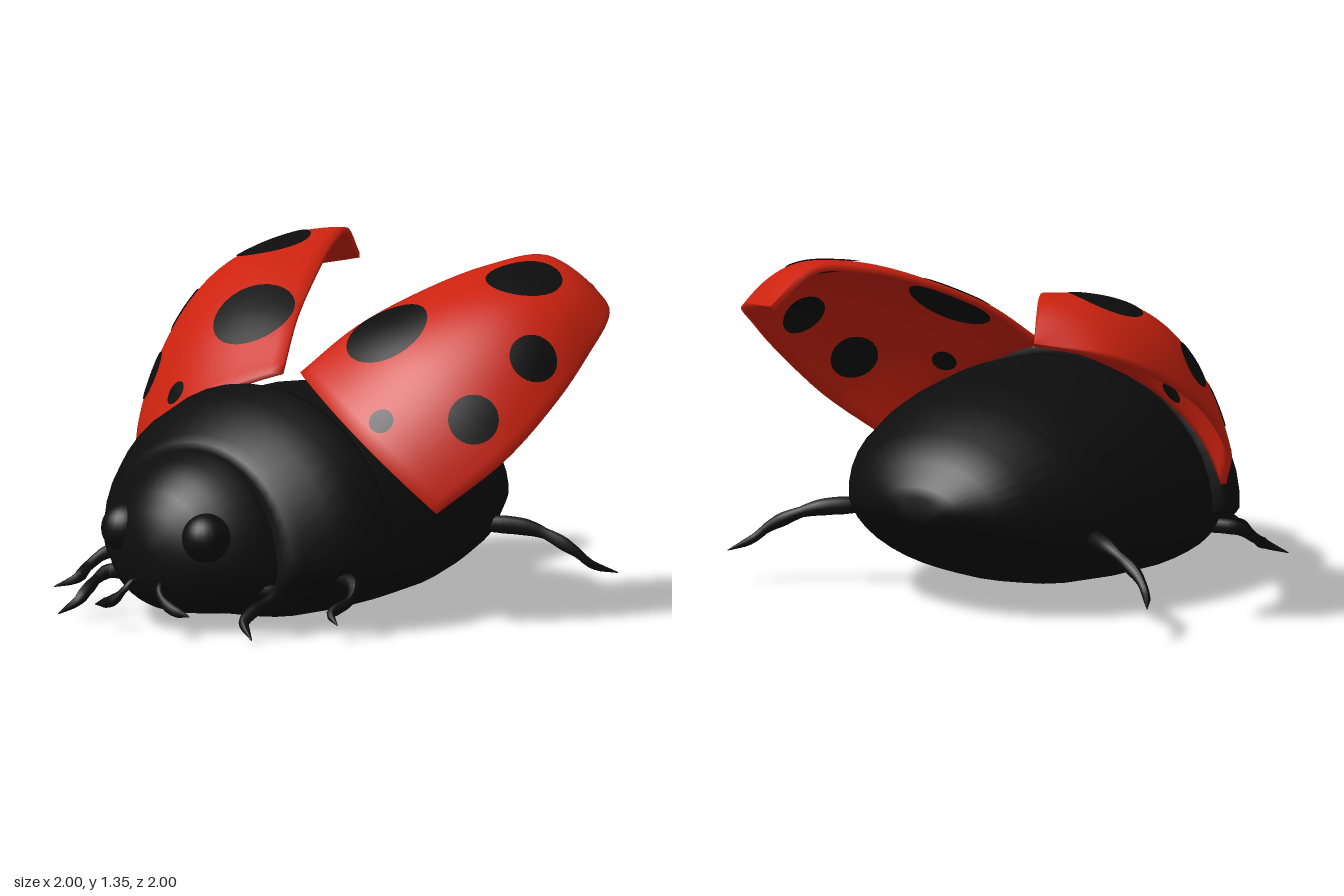
import * as THREE from 'three';

const V = (x, y, z) => new THREE.Vector3(x, y, z);
const path = (pts) => new THREE.CatmullRomCurve3(pts.map((p) => V(...p)));

function build(points, index) {
  const geo = new THREE.BufferGeometry().setFromPoints(points);
  geo.setIndex(index);
  geo.computeVertexNormals();
  return geo;
}

// Skin a list of equal rings and close both ends with strips
function skin(rings) {
  const n = rings[0].length, index = [], end = (rings.length - 1) * n;
  for (let i = 0; i < rings.length - 1; i++) {
    for (let k = 0; k < n; k++) {
      const a = i * n + k, b = i * n + (k + 1) % n;
      index.push(a, b, a + n, b, b + n, a + n);
    }
  }
  for (let k = 0; k < n / 2 - 1; k++) {
    const l = n - 1 - k;
    index.push(k, l, k + 1, k + 1, l, l - 1);
    index.push(end + k, end + k + 1, end + l, end + k + 1, end + l - 1, end + l);
  }
  return build(rings.flat(), index);
}

// Body section rows: z, half width, top, widest height, bottom
function bodyPart(rows) {
  const sides = 40;
  return skin(rows.map(([z, w, top, mid, bot]) => Array.from({ length: sides }, (_, k) => {
    const a = ((k + 0.5) / sides) * Math.PI * 2, s = Math.sin(a);
    return V(w * Math.cos(a), mid + s * (s > 0 ? top - mid : mid - bot), z);
  })));
}

// Tube whose radius follows a list of values
function limb(pts, radii) {
  const curve = path(pts), steps = 28, geo = new THREE.TubeGeometry(curve, steps, 1, 8);
  const pos = geo.attributes.position, nor = geo.attributes.normal;
  for (let i = 0; i < pos.count; i++) {
    const f = (Math.floor(i / 9) / steps) * (radii.length - 1);
    const k = Math.min(Math.floor(f), radii.length - 2);
    const d = THREE.MathUtils.lerp(radii[k], radii[k + 1], f - k) - 1;
    pos.setXYZ(i, pos.getX(i) + nor.getX(i) * d, pos.getY(i) + nor.getY(i) * d, pos.getZ(i) + nor.getZ(i) * d);
  }
  geo.computeVertexNormals();
  return geo;
}

function mirrored(geo) {
  const g = geo.clone().scale(-1, 1, 1), ix = g.index;
  for (let i = 0; i < ix.count; i += 3) {
    const b = ix.getX(i + 1);
    ix.setX(i + 1, ix.getX(i + 2));
    ix.setX(i + 2, b);
  }
  return g;
}

// Wing case surface: inner edge, crown and outer rim, s from front to tip, t across
const inner = path([[0.05, 0.94, 0.1], [0.16, 1.11, -0.11], [0.29, 1.24, -0.37], [0.41, 1.32, -0.6], [0.52, 1.345, -0.82], [0.61, 1.215, -0.995]]);
const crown = path([[0.47, 0.74, 0.237], [0.63, 1.02, -0.02], [0.73, 1.19, -0.28], [0.77, 1.26, -0.5], [0.72, 1.295, -0.76], [0.61, 1.215, -0.995]]);
const rim = path([[0.79, 0.46, 0.13], [0.95, 0.66, -0.09], [1.0, 0.87, -0.34], [0.965, 1.02, -0.56], [0.86, 1.15, -0.81], [0.61, 1.215, -0.995]]);

function wingPoint(s, t) {
  return inner.getPoint(s).multiplyScalar((1 - t) * (1 - 2 * t))
    .addScaledVector(crown.getPoint(s), 4 * t * (1 - t))
    .addScaledVector(rim.getPoint(s), t * (2 * t - 1));
}

function wingFrame(s, t) {
  const h = 0.004, a = THREE.MathUtils.clamp(s, h, 0.96), b = THREE.MathUtils.clamp(t, h, 1 - h);
  const ds = wingPoint(a + h, b).sub(wingPoint(a - h, b)).divideScalar(2 * h);
  const dt = wingPoint(a, b + h).sub(wingPoint(a, b - h)).divideScalar(2 * h);
  return { ds, dt, normal: dt.clone().cross(ds).normalize() };
}

const wingOffset = (s, t, d) => wingPoint(s, t).addScaledVector(wingFrame(s, t).normal, d);

// Nearest surface parameters to a point
function locate(p, s, t) {
  for (let i = 0; i < 8; i++) {
    const { ds, dt } = wingFrame(s, t), d = p.clone().sub(wingPoint(s, t));
    const a = ds.dot(ds), b = ds.dot(dt), c = dt.dot(dt), e = d.dot(ds), f = d.dot(dt), det = a * c - b * b;
    s = THREE.MathUtils.clamp(s + (0.8 * (e * c - f * b)) / det, 0.005, 0.97);
    t = THREE.MathUtils.clamp(t + (0.8 * (f * a - e * b)) / det, 0.005, 0.995);
  }
  return [s, t];
}

const THICK = 0.025;

function wingCase() {
  const rows = 36, n = 24, rings = [];
  for (let i = 0; i <= rows; i++) {
    const ring = [];
    for (let k = 0; k < 2 * n + 2; k++) {
      ring.push(k <= n ? wingOffset(i / rows, k / n, 0) : wingOffset(i / rows, (2 * n + 1 - k) / n, -THICK));
    }
    rings.push(ring);
  }
  return skin(rings);
}

// Round spot draped over the wing surface at a given offset
function spot([x, y, z, r], offset) {
  const [s, t] = locate(V(x, y, z), 0.4, 0.5), centre = wingPoint(s, t), { dt, normal } = wingFrame(s, t);
  const e1 = dt.clone().normalize(), e2 = normal.clone().cross(e1);
  const rings = 5, seg = 28, pts = [wingOffset(s, t, offset)], index = [];
  for (let i = 1; i <= rings; i++) {
    for (let k = 0; k < seg; k++) {
      const a = (k / seg) * Math.PI * 2, q = (r * i) / rings;
      const p = centre.clone().addScaledVector(e1, q * Math.cos(a)).addScaledVector(e2, q * Math.sin(a));
      pts.push(wingOffset(...locate(p, s, t), offset));
      const c = 1 + (i - 1) * seg + k, d = 1 + (i - 1) * seg + (k + 1) % seg;
      if (i === 1) index.push(0, c, d);
      else index.push(c - seg, c, d, c - seg, d, d - seg);
    }
  }
  return build(pts, index);
}

export function createModel() {
  const model = new THREE.Group();
  model.name = 'ladybird';
  const red = new THREE.MeshStandardMaterial({ color: 0xcc220f });
  red.name = 'wing red';
  const black = new THREE.MeshStandardMaterial({ color: 0x0d0d0d, side: THREE.DoubleSide });
  black.name = 'body black';

  const add = (name, geo, mat = black) => {
    const mesh = new THREE.Mesh(geo, mat);
    mesh.name = name;
    model.add(mesh);
  };
  const addPair = (name, geo, mat) => {
    add('left ' + name, geo, mat);
    add('right ' + name, mirrored(geo), mat);
  };

  // Body
  add('abdomen', bodyPart([
    [-0.882, 0.1, 0.5, 0.45, 0.41], [-0.865, 0.17, 0.54, 0.45, 0.39], [-0.8, 0.31, 0.63, 0.44, 0.33],
    [-0.7, 0.43, 0.725, 0.42, 0.24], [-0.5, 0.56, 0.81, 0.39, 0.12], [-0.35, 0.61, 0.85, 0.37, 0.07],
    [-0.2, 0.645, 0.87, 0.35, 0.035], [0, 0.66, 0.885, 0.33, 0.015], [0.2, 0.66, 0.87, 0.31, 0.005],
    [0.35, 0.62, 0.8, 0.3, 0.003], [0.5, 0.54, 0.7, 0.28, 0.03], [0.63, 0.43, 0.6, 0.26, 0.05],
  ]));
  add('thorax shield', bodyPart([
    [0.262, 0.62, 0.86, 0.31, 0.28], [0.268, 0.68, 0.905, 0.31, 0.27], [0.3, 0.69, 0.91, 0.31, 0.25],
    [0.42, 0.667, 0.872, 0.3, 0.18], [0.52, 0.605, 0.815, 0.29, 0.1], [0.61, 0.52, 0.75, 0.28, 0.06],
    [0.64, 0.485, 0.72, 0.28, 0.05], [0.648, 0.44, 0.69, 0.28, 0.06],
  ]));
  add('head', bodyPart([
    [0.61, 0.42, 0.7, 0.25, 0.05], [0.66, 0.415, 0.69, 0.25, 0.05], [0.74, 0.375, 0.66, 0.26, 0.06],
    [0.81, 0.31, 0.615, 0.28, 0.075], [0.87, 0.235, 0.55, 0.3, 0.1], [0.91, 0.155, 0.48, 0.32, 0.15],
    [0.93, 0.08, 0.41, 0.33, 0.23], [0.937, 0.02, 0.35, 0.33, 0.31],
  ]));
  addPair('eye', new THREE.SphereGeometry(0.1, 24, 16).translate(0.21, 0.385, 0.83));

  // Antennae and legs
  addPair('antenna', limb(
    [[0.05, 0.17, 0.87], [0.07, 0.2, 0.95], [0.09, 0.17, 0.975], [0.15, 0.12, 0.98], [0.245, 0.095, 0.975]],
    [0.012, 0.013, 0.013, 0.014, 0.024, 0.02, 0.002]));
  addPair('front leg', limb(
    [[0.34, 0.17, 0.66], [0.44, 0.17, 0.68], [0.43, 0.11, 0.82], [0.43, 0.08, 0.86], [0.505, 0.02, 0.9]],
    [0.03, 0.03, 0.028, 0.02, 0.026, 0.024, 0.015, 0.002]));
  addPair('middle leg', limb(
    [[0.5, 0.21, 0.4], [0.64, 0.2, 0.45], [0.68, 0.15, 0.52], [0.665, 0.11, 0.61], [0.74, 0.075, 0.66]],
    [0.03, 0.03, 0.03, 0.022, 0.02, 0.024, 0.014, 0.002]));
  addPair('hind leg', limb(
    [[0.45, 0.33, -0.4], [0.69, 0.31, -0.55], [0.85, 0.235, -0.61], [0.91, 0.18, -0.65], [0.97, 0.145, -0.735]],
    [0.03, 0.03, 0.036, 0.034, 0.022, 0.028, 0.018, 0.016, 0.002]));

  // Raised wing cases with spots on both faces
  addPair('wing case', wingCase(), red);
  [[0.35, 1.1, -0.08, 0.175], [0.655, 1.29, -0.54, 0.155], [0.9, 1.03, -0.31, 0.1],
    [0.84, 0.82, -0.03, 0.1], [0.54, 0.81, 0.18, 0.05]].forEach((s, i) => {
    addPair('upper spot ' + (i + 1), spot(s, 0.005));
    addPair('lower spot ' + (i + 1), spot(s, -THICK - 0.005));
  });
  return model;
}
